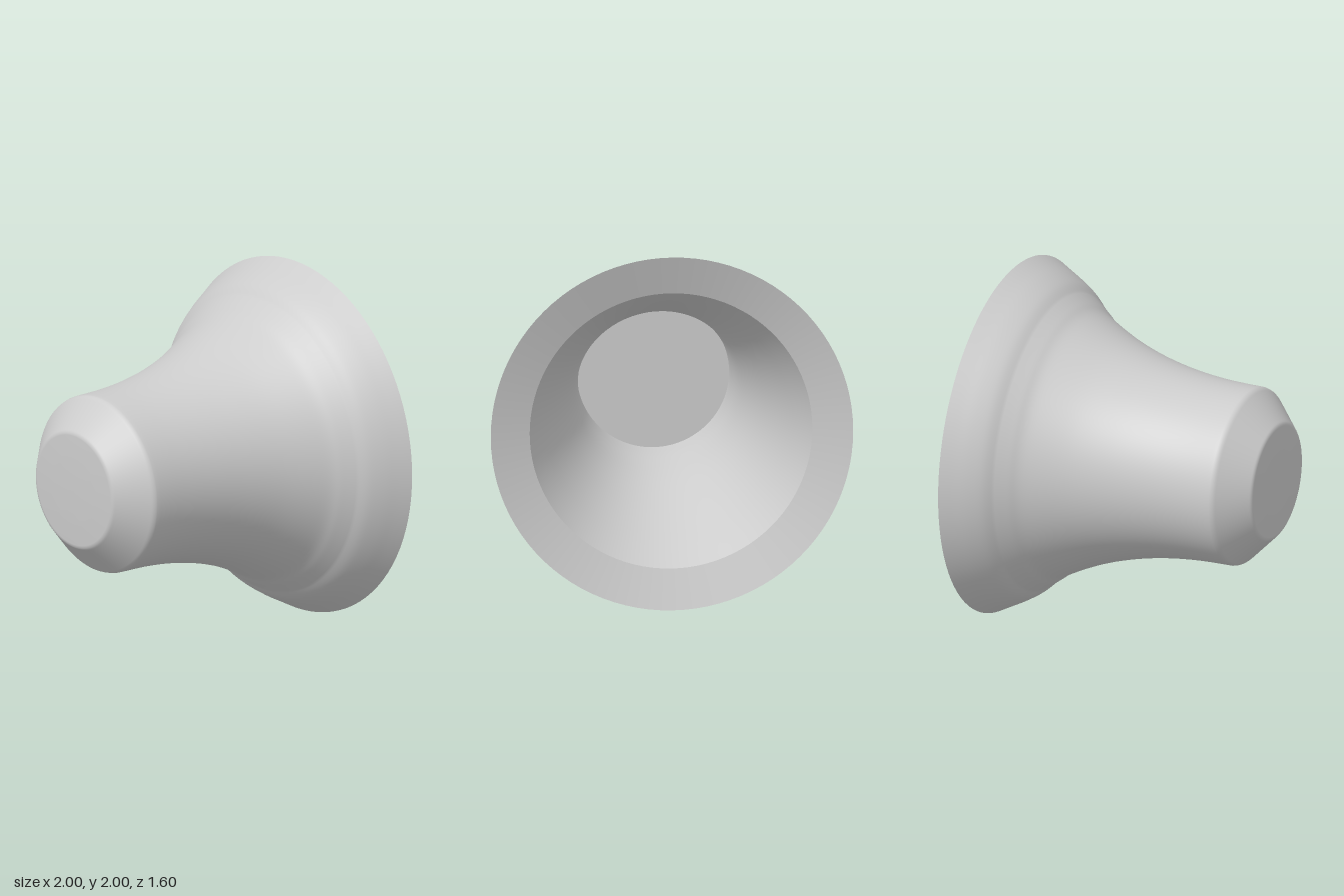
import * as THREE from 'three';

const SEGMENTS = 96;
const material = new THREE.MeshStandardMaterial({ color: 0xcccccc });

// Smooth curve through [radius, z] points
const smooth = (points, divisions) =>
  new THREE.SplineCurve(points.map(([r, z]) => new THREE.Vector2(r, z))).getPoints(divisions);

// Surface of revolution about the z axis, centred at y = 1
function turned(name, profile) {
  const geometry = new THREE.LatheGeometry(profile, SEGMENTS);
  geometry.rotateX(Math.PI / 2);
  geometry.translate(0, 1, 0);
  const mesh = new THREE.Mesh(geometry, material);
  mesh.name = name;
  return mesh;
}

export function createModel() {
  const model = new THREE.Group();
  model.name = 'flaredBell';

  // Convex lip at the wide end
  const lip = smooth([[1, -0.8], [0.965, -0.735], [0.925, -0.66], [0.88, -0.59], [0.835, -0.545]], 16);

  // Concave flare running into the straight neck
  const flare = smooth([[0.835, -0.545], [0.785, -0.48], [0.727, -0.4], [0.632, -0.2],
    [0.567, 0], [0.526, 0.2], [0.505, 0.4], [0.5, 0.61]], 40);

  // Softened chamfer and slightly domed nose
  const nose = smooth([[0.5, 0.61], [0.494, 0.628], [0.482, 0.642]], 4)
    .concat(smooth([[0.34, 0.778], [0.328, 0.788], [0.312, 0.792]], 4),
      smooth([[0.2, 0.797], [0.1, 0.799], [0, 0.8]], 6));

  model.add(turned('outerShell', [...lip, ...flare.slice(1), ...nose.slice(1)]));

  // Sloping ring between the outer edge and the mouth
  model.add(turned('rim', [new THREE.Vector2(0.78, -0.73), new THREE.Vector2(1, -0.8)]));

  // Hollow inside, following the flare down to a closed floor
  const cavity = smooth([[0.42, 0.6], [0.43, 0.4], [0.475, 0.1], [0.56, -0.2],
    [0.675, -0.5], [0.78, -0.73]], 32);
  model.add(turned('cavityWall', cavity));
  model.add(turned('cavityFloor', [new THREE.Vector2(0, 0.6), new THREE.Vector2(0.42, 0.6)]));

  return model;
}
